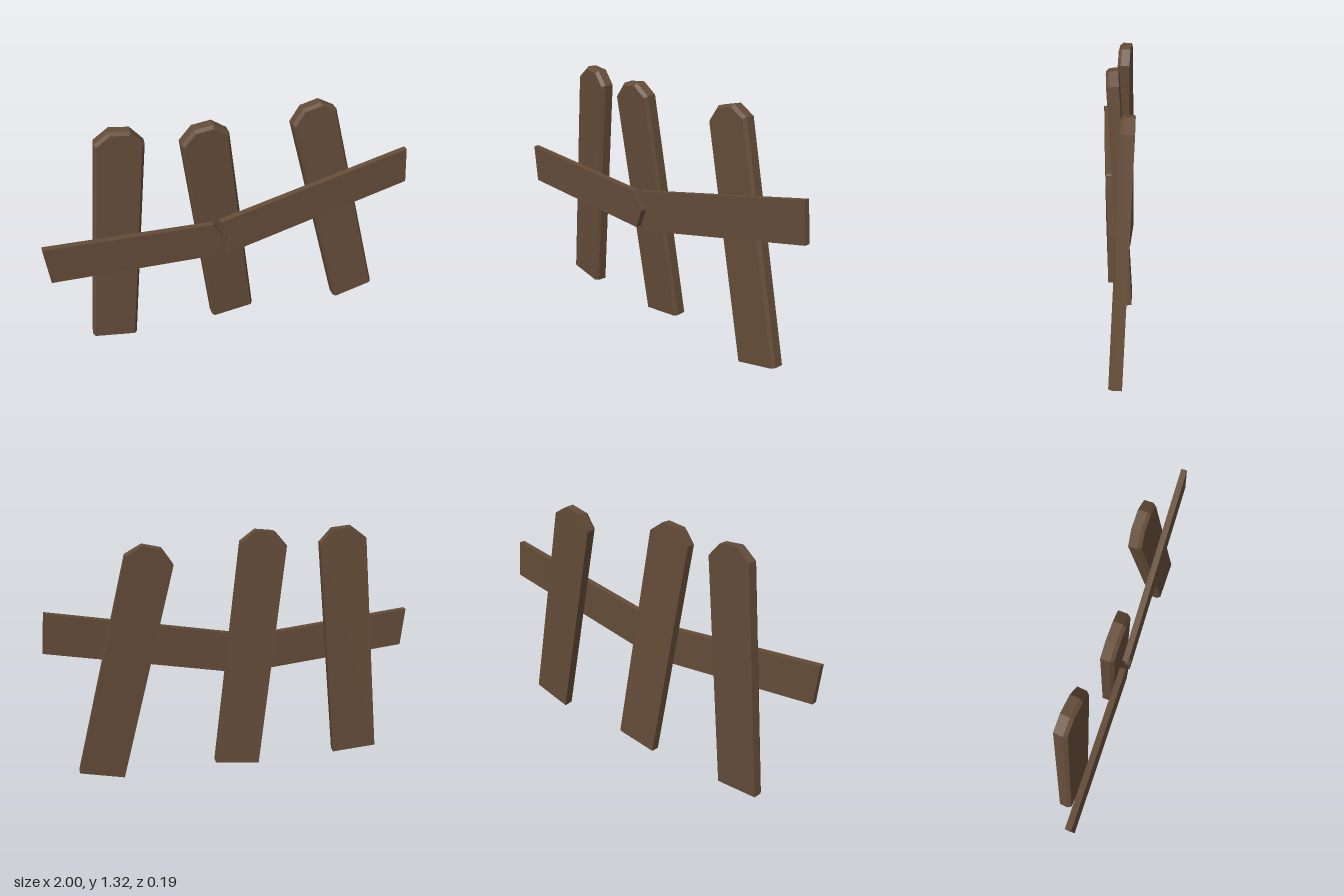
import * as THREE from 'three';

const wood = new THREE.MeshStandardMaterial({ color: 0x644c38 });
wood.name = 'dark brown wood';

const HALF_W = 0.122, LENGTH = 1.29, HALF_T = 0.033, CHAMFER = 0.013;

// Picket outline, counter-clockwise seen from the front; inset narrows the sides and top
function outline(inset) {
  const w = HALF_W - inset, tip = 0.05 - inset * 0.4;
  const shoulder = LENGTH - 0.067 - inset * 0.5, top = LENGTH - inset;
  return [[-w, 0], [w, 0], [w, shoulder], [tip, top], [-tip, top], [-w, shoulder]];
}

// Picket board: square back edge, chamfered front edge
function picketGeometry() {
  const rings = [[0, -HALF_T], [0, HALF_T - 0.018], [CHAMFER, HALF_T]]
    .map(([inset, z]) => outline(inset).map(([x, y]) => [x, y, z]));
  const pos = [];
  const tri = (a, b, c) => pos.push(...a, ...b, ...c);
  const n = rings[0].length;
  for (let r = 0; r < rings.length - 1; r++) {
    for (let i = 0; i < n; i++) {
      const j = (i + 1) % n, a = rings[r], b = rings[r + 1];
      tri(a[i], a[j], b[j]);
      tri(a[i], b[j], b[i]);
    }
  }
  const back = rings[0], front = rings[rings.length - 1];
  for (let i = 1; i < n - 1; i++) {
    tri(front[0], front[i], front[i + 1]);
    tri(back[0], back[i + 1], back[i]);
  }
  const g = new THREE.BufferGeometry();
  g.setAttribute('position', new THREE.Float32BufferAttribute(pos, 3));
  g.computeVertexNormals();
  return g;
}

// Stands a picket between two centre points, turned by a slope of z over x
function picket(geometry, name, bottom, top, slope) {
  const base = new THREE.Vector3(...bottom);
  const up = new THREE.Vector3(...top).sub(base).normalize();
  const side = new THREE.Vector3(1, 0, slope);
  side.addScaledVector(up, -side.dot(up)).normalize();
  const facing = new THREE.Vector3().crossVectors(side, up);
  const mesh = new THREE.Mesh(geometry, wood);
  mesh.name = name;
  mesh.quaternion.setFromRotationMatrix(new THREE.Matrix4().makeBasis(side, up, facing));
  mesh.position.copy(base);
  return mesh;
}

// Rail: flat board whose depth drifts back towards +x
function rail(name, points) {
  const shape = new THREE.Shape(points.map(([x, y]) => new THREE.Vector2(x, y)));
  const g = new THREE.ExtrudeGeometry(shape, { depth: 0.032, bevelEnabled: false });
  const p = g.attributes.position;
  for (let i = 0; i < p.count; i++) p.setZ(i, p.getZ(i) + 0.025 - 0.0365 * p.getX(i));
  g.computeVertexNormals();
  const mesh = new THREE.Mesh(g, wood);
  mesh.name = name;
  return mesh;
}

export function createModel() {
  const fence = new THREE.Group();
  fence.name = 'brokenFence';
  const board = picketGeometry();
  fence.add(
    picket(board, 'rightPicket', [-0.678, 0.037, -0.054], [-0.55, 1.32, -0.041], 0.09),
    picket(board, 'middlePicket', [0.01, 0.035, -0.053], [-0.158, 1.315, 0.025], 0),
    picket(board, 'leftPicket', [0.747, 0.035, -0.005], [0.437, 1.29, -0.06], 0.01),
    // Snapped rail: pointed end on one half, notched end on the other
    rail('rightRail', [[-1, 0.8], [-0.98, 0.59], [-0.1, 0.53], [-0.062, 0.635], [-0.12, 0.735]]),
    rail('leftRail', [[-0.083, 0.74], [-0.024, 0.64], [-0.045, 0.525], [1, 0.755], [0.98, 0.965]]),
  );
  return fence;
}
